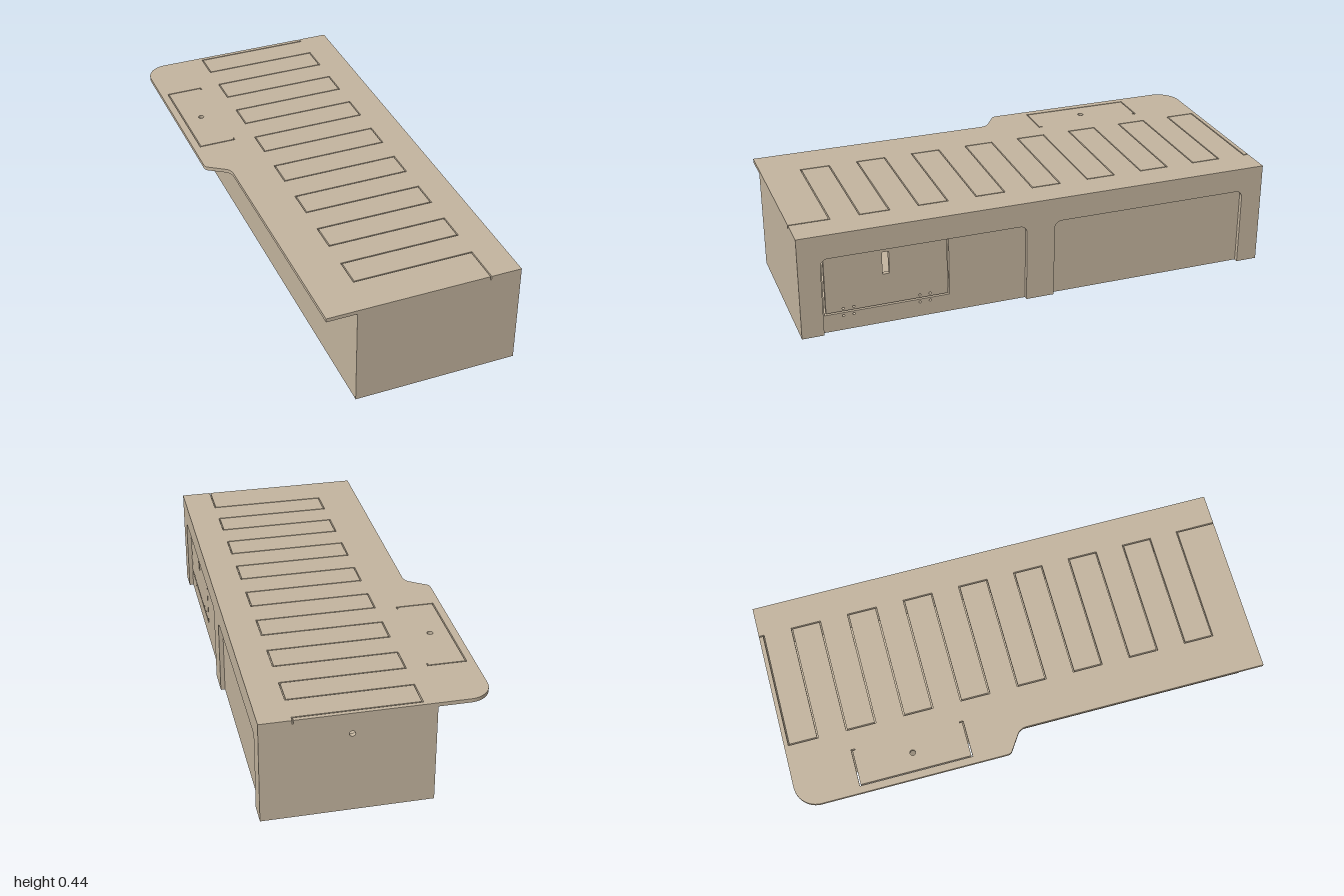
import * as THREE from 'three';

const H = 0.437, T = 0.016, W = 0.018, GAP = 0.0025; // height, top and wall thickness, half of a saw cut
const WALL_H = H - T;

export function createModel() {
  const model = new THREE.Group();
  const plywood = new THREE.MeshStandardMaterial({ color: 0xc4b59f });
  plywood.name = 'plywood';

  const add = (name, geometry, x = 0, y = 0, z = 0) => {
    const mesh = new THREE.Mesh(geometry, plywood);
    mesh.name = name;
    mesh.position.set(x, y, z);
    model.add(mesh);
    return mesh;
  };
  const box = (name, x0, x1, y0, y1, z0, z1) =>
    add(name, new THREE.BoxGeometry(x1 - x0, y1 - y0, z1 - z0), (x0 + x1) / 2, (y0 + y1) / 2, (z0 + z1) / 2);
  const polygon = (points) => new THREE.Shape(points.map(([a, b]) => new THREE.Vector2(a, b)));
  const rect = (a0, a1, b0, b1) => polygon([[a0, b0], [a1, b0], [a1, b1], [a0, b1]]);
  const circle = (a, b, r) => new THREE.Path().absarc(a, b, r, 0, Math.PI * 2, true);
  const extrude = (shape, depth) => new THREE.ExtrudeGeometry(shape, { depth, bevelEnabled: false, curveSegments: 16 });
  const lying = (shape) => extrude(shape, T).rotateX(Math.PI / 2);       // shape in x, z
  const sideways = (shape) => extrude(shape, W).rotateY(-Math.PI / 2);   // shape in z, y

  // Zigzag edge shared by the two interlocking top boards
  const zigzag = (s) => {
    const xl = -0.175 + s * GAP, xr = 0.32 + s * GAP;
    const pts = [[xr, -1]];
    for (let k = 0; k < 16; k++) {
      const z = -0.98 + 0.121 * k + (k % 2 ? -s : s) * GAP;
      pts.push(...(k % 2 ? [[xl, z], [xr, z]] : [[xr, z], [xl, z]]));
    }
    pts.push([xr, 1]);
    return pts;
  };

  // Sliding board with fingers, along the panelled side
  add('slidingTopBoard', lying(polygon([...zigzag(1), [0.45, 1], [0.45, -1]])), 0, H);

  // Fixed board with the rounded overhanging shelf
  const fixed = polygon(zigzag(-1));
  fixed.lineTo(-0.355, 1);
  fixed.lineTo(-0.355, -0.02);
  fixed.quadraticCurveTo(-0.355, -0.05, -0.375, -0.064);
  fixed.lineTo(-0.44, -0.108);
  fixed.quadraticCurveTo(-0.45, -0.115, -0.45, -0.13);
  fixed.lineTo(-0.45, -0.905);
  fixed.absarc(-0.355, -0.905, 0.095, Math.PI, Math.PI * 1.5, false);
  fixed.closePath();
  // U-shaped flap cut and finger hole
  const c = 0.005, zb = -0.74, zf = -0.268;
  fixed.holes.push(
    polygon([[-0.42, zb], [-0.262, zb], [-0.262, zb + 0.016], [-0.267, zb + 0.016], [-0.267, zb + c], [-0.42 + c, zb + c],
      [-0.42 + c, zf - c], [-0.267, zf - c], [-0.267, zf - 0.016], [-0.262, zf - 0.016], [-0.262, zf], [-0.42, zf]]),
    circle(-0.34, -0.5, 0.012));
  add('fixedTopBoard', lying(fixed), 0, H);

  // Outer frame with two arched-corner openings down to the ground
  const r = 0.03, top = 0.335;
  const frame = new THREE.Shape();
  frame.moveTo(-1, 0);
  for (const [a, b] of [[-0.91, -0.06], [0.06, 0.91]]) {
    frame.lineTo(a, 0);
    frame.lineTo(a, top - r);
    frame.absarc(a + r, top - r, r, Math.PI, Math.PI / 2, true);
    frame.lineTo(b - r, top);
    frame.absarc(b - r, top - r, r, Math.PI / 2, 0, true);
    frame.lineTo(b, 0);
  }
  frame.lineTo(1, 0);
  frame.lineTo(1, WALL_H);
  frame.lineTo(-1, WALL_H);
  add('sideFrame', sideways(frame), 0.45);

  // Inner side wall with the hatch cut, grip slot and hinge holes
  const inner = rect(-1, 1, 0, WALL_H);
  const g = 0.007, z0 = 0.386, z1 = 0.902, y0 = 0.077, y1 = 0.325;
  inner.holes.push(
    polygon([[z0, y0], [z1, y0], [z1, y1], [z1 - g, y1], [z1 - g, y0 + g], [z0 + g, y0 + g], [z0 + g, y1], [z0, y1]]),
    rect(0.632, 0.66, 0.218, 0.315));
  for (const z of [0.825, 0.782, 0.51, 0.467])
    for (const y of [0.064, 0.096]) inner.holes.push(circle(z, y, 0.005));
  add('innerSideWall', sideways(inner), 0.432);

  // Plain walls; the back one has a cable hole
  box('farSideWall', -0.23, -0.23 + W, 0, WALL_H, -1, 1);
  box('frontWall', -0.212, 0.414, 0, WALL_H, 1 - W, 1);
  const back = rect(-0.212, 0.414, 0, WALL_H);
  back.holes.push(circle(0.096, 0.347, 0.012));
  add('backWall', extrude(back, W), 0, 0, -1);

  // Divider and raised floors
  box('divider', -0.212, 0.414, 0, WALL_H, 0.355, 0.355 + W);
  box('backFloor', -0.212, 0.414, 0.042, 0.06, -1 + W, 0.355);
  box('frontFloor', -0.212, 0.414, 0.042, 0.06, 0.355 + W, 1 - W);

  return model;
}
